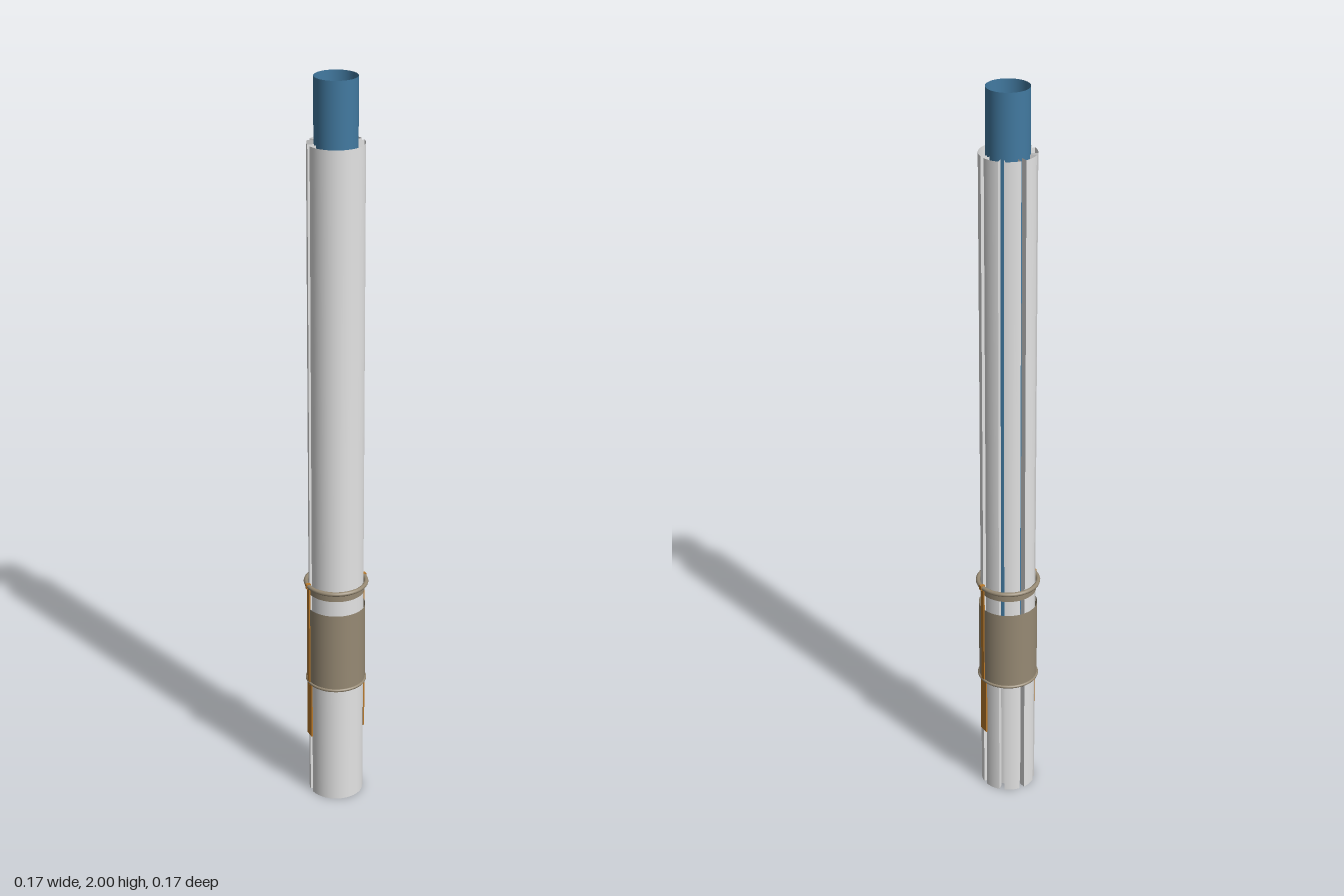
import * as THREE from 'three';

const mat = (name, color) => {
  const m = new THREE.MeshStandardMaterial({ color, side: THREE.DoubleSide });
  m.name = name;
  return m;
};

export function createModel() {
  const root = new THREE.Group();
  root.name = 'slottedTube';
  const white = mat('shellWhite', 0xe4e4e4);
  const blue = mat('coreBlue', 0x427aa1);
  const brown = mat('sleeveBrown', 0x978a74);
  const orange = mat('clipOrange', 0xb8792c);

  const add = (name, geo, material, parent = root) => {
    const m = new THREE.Mesh(geo, material);
    m.name = name;
    parent.add(m);
    return m;
  };
  // open curved wall between two heights and two angles (angle 0 is the front)
  const wall = (name, r, y0, y1, material, a0 = 0, a1 = Math.PI * 2, segs = 48, parent = root) => {
    const g = new THREE.CylinderGeometry(r, r, y1 - y0, segs, 1, true, a0, a1 - a0);
    g.translate(0, (y0 + y1) / 2, 0);
    return add(name, g, material, parent);
  };

  // outer shell: one wide front panel and four back panels with slots between
  const shell = new THREE.Group();
  shell.name = 'outerShell';
  root.add(shell);
  const R = 0.073, H = 1.835, half = 0.1, q = Math.PI / 4;
  wall('frontPanel', R, 0, H, white, -2 * q + half, 2 * q - half, 36, shell);
  for (let i = 2; i < 6; i++) {
    wall('backPanel', R, 0, H, white, i * q + half, (i + 1) * q - half, 12, shell);
  }
  // slot walls running inward
  for (let i = 2; i <= 6; i++) {
    for (const s of [-1, 1]) {
      const a = i * q + s * half;
      const g = new THREE.PlaneGeometry(0.017, H);
      g.translate(R - 0.0085, H / 2, 0);
      g.rotateY(a - Math.PI / 2);
      add('slotWall', g, white, shell);
    }
  }

  // inner tubes
  wall('innerTube', 0.055, 0.34, 2, blue);
  wall('lowerInnerTube', 0.045, 0, 0.34, white);

  // sleeve with bottom lip
  wall('sleeve', 0.078, 0.34, 0.57, brown);
  const lip = add('sleeveLip', new THREE.TorusGeometry(0.078, 0.004, 8, 48), brown);
  lip.rotation.x = Math.PI / 2;
  lip.position.y = 0.345;

  // collar ring and the thin band below it
  const ring = add('collarRing', new THREE.TorusGeometry(0.08, 0.006, 10, 48), brown);
  ring.rotation.x = Math.PI / 2;
  ring.position.y = 0.637;
  wall('collarBand', 0.0755, 0.612, 0.635, brown);

  // side clips: narrow strip, wider foot and a cap over the ring
  for (const s of [-1, 1]) {
    const clip = new THREE.Group();
    clip.name = s > 0 ? 'leftClip' : 'rightClip';
    root.add(clip);
    const box = (name, w, y0, y1, d, x) => {
      const m = add(name, new THREE.BoxGeometry(w, y1 - y0, d), orange, clip);
      m.position.set(s * x, (y0 + y1) / 2, 0);
    };
    box('clipStrip', 0.004, 0.34, 0.64, 0.013, 0.0785);
    box('clipFoot', 0.004, 0.18, 0.34, 0.027, 0.0765);
    box('clipCap', 0.0124, 0.6305, 0.6435, 0.01, 0.0802);
  }
  return root;
}
